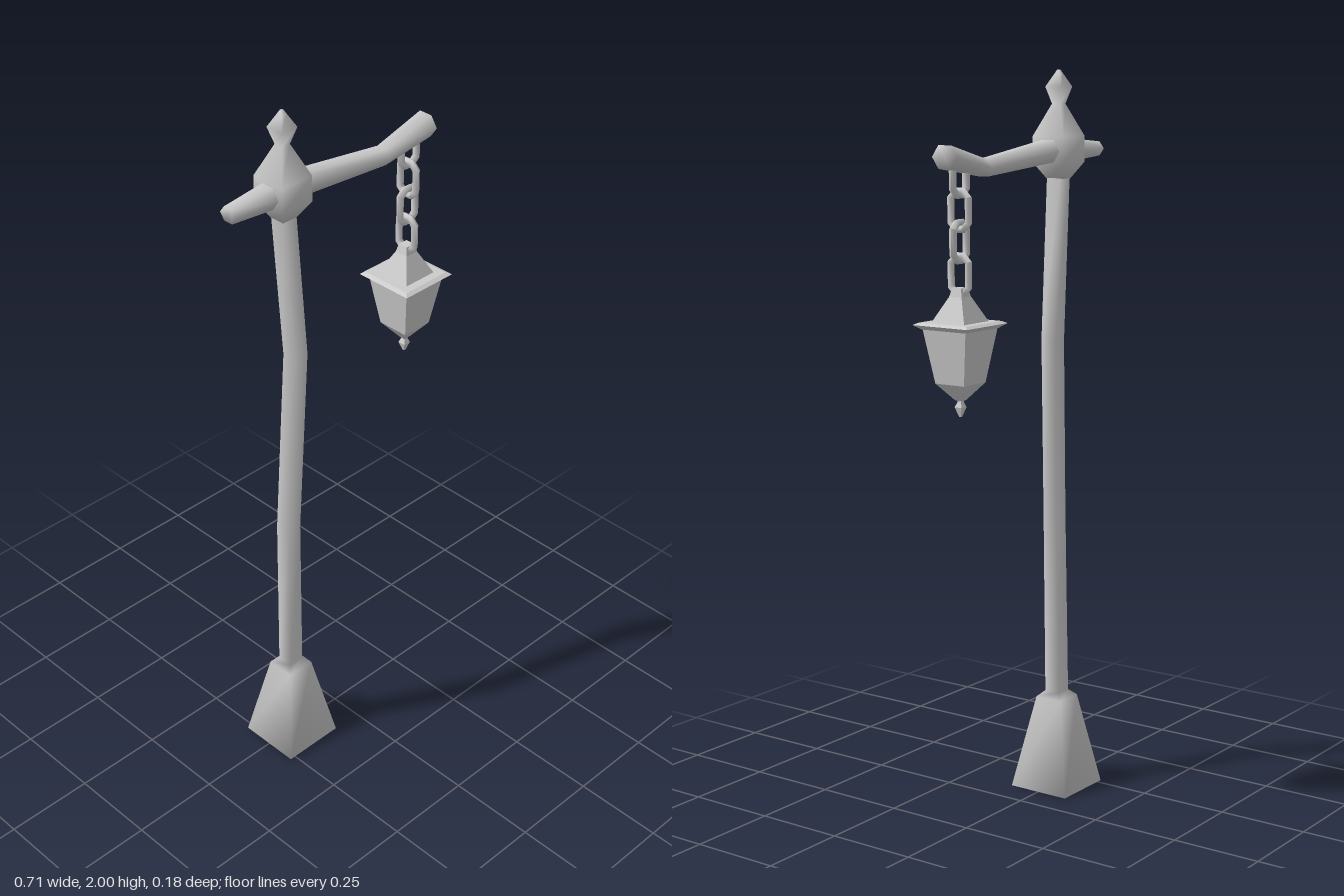
import * as THREE from 'three';

const smooth = new THREE.MeshStandardMaterial({ color: 0xcccccc });
const faceted = new THREE.MeshStandardMaterial({ color: 0xcccccc, flatShading: true });

// Closed skin over a series of equal-sized rings of points
function loft(rings) {
  const n = rings[0].length, last = (rings.length - 1) * n;
  const index = [];
  for (let i = 0; i < rings.length - 1; i++) {
    for (let j = 0; j < n; j++) {
      const a = i * n + j, b = i * n + (j + 1) % n;
      index.push(a, b, b + n, a, b + n, a + n);
    }
  }
  for (let j = 1; j < n - 1; j++) {
    index.push(0, j + 1, j, last, last + j, last + j + 1);
  }
  const geometry = new THREE.BufferGeometry();
  geometry.setAttribute('position', new THREE.Float32BufferAttribute(rings.flat(2), 3));
  geometry.setIndex(index);
  geometry.computeVertexNormals();
  return geometry;
}

// Horizontal square ring, half-width h
function squareRing(x, y, z, h) {
  return [0, 1, 2, 3].map((k) => {
    const a = Math.PI / 4 + k * Math.PI / 2, r = h * Math.SQRT2;
    return [x + r * Math.cos(a), y, z - r * Math.sin(a)];
  });
}

// Upright hexagonal ring facing along x
function hexRing(x, y, ry, rz) {
  return [0, 1, 2, 3, 4, 5].map((k) => {
    const a = Math.PI / 6 + k * Math.PI / 3;
    return [x, y + ry * Math.cos(a), rz * Math.sin(a)];
  });
}

// Square-sided turned shape from [y, half-width] pairs, bottom to top
const squareTurned = (x, profile) => loft(profile.map(([y, h]) => squareRing(x, y, 0, h)));

function add(parent, name, geometry, material) {
  const mesh = new THREE.Mesh(geometry, material);
  mesh.name = name;
  parent.add(mesh);
  return mesh;
}

// Octagonal chain link, stretched upward and downward
function linkGeometry() {
  const geometry = new THREE.TorusGeometry(0.03, 0.01, 6, 8);
  geometry.rotateZ(Math.PI / 8);
  const p = geometry.attributes.position;
  for (let i = 0; i < p.count; i++) p.setY(i, p.getY(i) + Math.sign(p.getY(i)) * 0.02);
  geometry.computeVertexNormals();
  return geometry;
}

export function createModel() {
  const model = new THREE.Group();
  model.name = 'streetLantern';
  const postX = -0.176, lampX = 0.265;

  // Flared foot and crooked post in one skin
  add(model, 'post', loft([
    [postX, 0, 0, 0.091],
    [postX, 0.26, 0, 0.041],
    [postX, 0.277, 0, 0.023],
    [-0.2, 0.78, 0.026, 0.022],
    [-0.125, 1.28, -0.018, 0.022],
    [postX, 1.73, 0, 0.022],
  ].map((r) => squareRing(...r))), smooth);

  // Bent cross arm
  add(model, 'arm', loft([
    [-0.355, 1.786, 0.022, 0.028],
    [-0.225, 1.787, 0.034, 0.037],
    [-0.125, 1.786, 0.034, 0.037],
    [0.165, 1.753, 0.025, 0.031],
    [0.325, 1.786, 0.034, 0.04],
  ].map((r) => hexRing(...r))), smooth);

  // Knob and spire at the post head
  add(model, 'postFinial', squareTurned(postX, [
    [1.71, 0.022], [1.755, 0.05], [1.825, 0.05], [1.91, 0.013],
    [1.955, 0.026], [1.99, 0.008], [2, 0.003],
  ]), smooth);

  // Chain of alternating links
  const chain = new THREE.Group();
  chain.name = 'chain';
  model.add(chain);
  const link = linkGeometry();
  [1.737, 1.651, 1.572, 1.488].forEach((y, i) => {
    const mesh = add(chain, 'chainLink', link, smooth);
    mesh.position.set(lampX, y, 0);
    mesh.rotation.y = (i % 2) * Math.PI / 2;
  });

  // Hanging lantern
  const lantern = new THREE.Group();
  lantern.name = 'lantern';
  model.add(lantern);
  add(lantern, 'lanternRoof', squareTurned(lampX, [
    [1.35, 0.07], [1.362, 0.087], [1.368, 0.075], [1.368, 0.052], [1.432, 0.02], [1.455, 0.014],
  ]), faceted);
  add(lantern, 'lanternBody', squareTurned(lampX, [
    [1.165, 0.01], [1.21, 0.046], [1.355, 0.069],
  ]), faceted);
  add(lantern, 'lanternDrop', squareTurned(lampX, [
    [1.122, 0.003], [1.147, 0.011], [1.16, 0.006], [1.175, 0.006],
  ]), faceted);

  return model;
}
